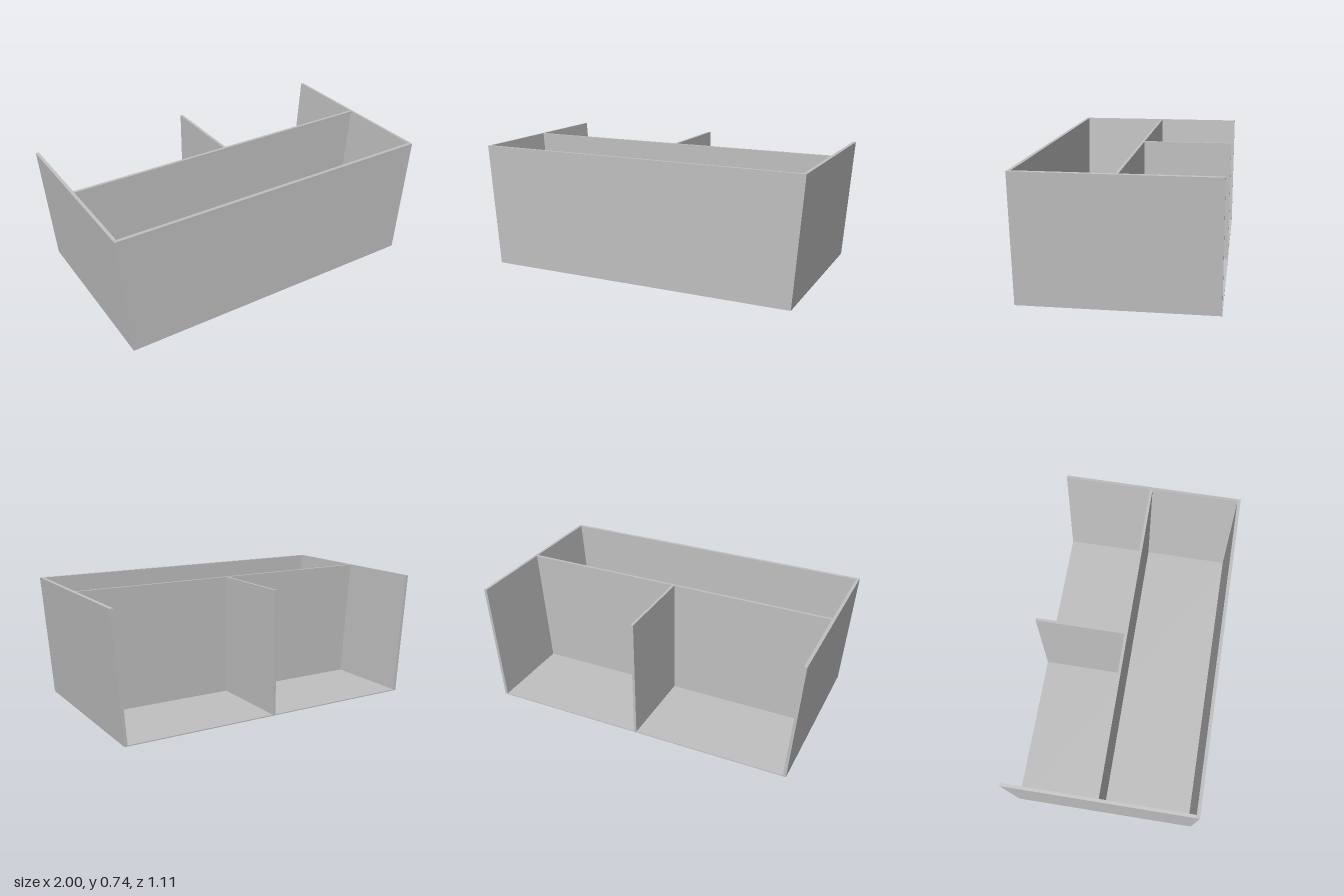
import * as THREE from 'three';

const H = 0.742, FLOOR = 0.006, DEPTH = 0.553, WALL = 0.018;
const BOTTOM = 0.945, TOP = 1.0; // outer half widths

export function createModel() {
  const group = new THREE.Group();
  const grey = new THREE.MeshStandardMaterial({ color: 0xc0c0c0 });
  grey.name = 'light grey board';

  // half width of the flared outline at a given height
  const half = (y) => BOTTOM + (TOP - BOTTOM) * y / H;

  // extrude an outline in x, y from z0 to z1
  function panel(name, points, z0, z1) {
    const shape = new THREE.Shape(points.map(([x, y]) => new THREE.Vector2(x, y)));
    const geometry = new THREE.ExtrudeGeometry(shape, { depth: z1 - z0, bevelEnabled: false });
    geometry.translate(0, 0, z0);
    const mesh = new THREE.Mesh(geometry, grey);
    mesh.name = name;
    group.add(mesh);
  }

  const trapezoid = (inset, y0, y1) => [
    [-half(y0) + inset, y0], [half(y0) - inset, y0],
    [half(y1) - inset, y1], [-half(y1) + inset, y1],
  ];

  // thin base board
  panel('floor', trapezoid(0, 0, FLOOR), -DEPTH, DEPTH);

  // full-width front and the cross wall between the sides
  panel('frontWall', trapezoid(0, FLOOR, H), DEPTH - 0.02, DEPTH);
  panel('crossWall', trapezoid(WALL, FLOOR, H), -0.021, -0.004);

  // sides flare outwards, the inner top edge slightly raised
  for (const s of [1, -1]) {
    panel(s > 0 ? 'leftWall' : 'rightWall', [
      [s * half(FLOOR), FLOOR], [s * TOP, H],
      [s * (TOP - WALL), H + 0.002], [s * (half(FLOOR) - WALL), FLOOR],
    ], -DEPTH, DEPTH - 0.02);
  }

  // upright divider splitting the open back bay
  panel('backDivider', [[-0.008, FLOOR], [0.008, FLOOR], [0.008, H], [-0.008, H]], -DEPTH, -0.021);

  return group;
}
